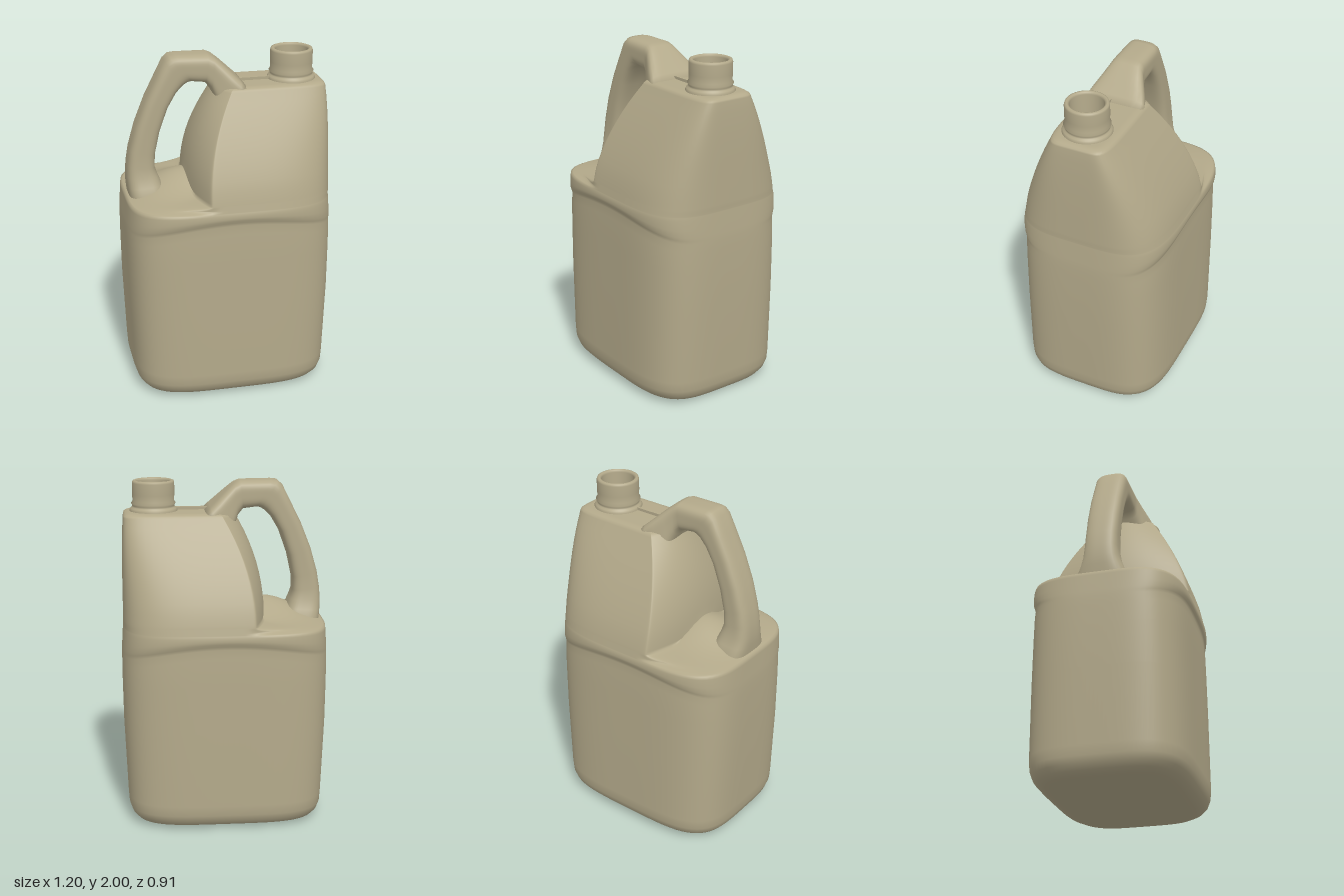
import * as THREE from 'three';

const SEG = 120;

// Skin a stack of closed rings and close both ends with fans
function loft(rings, capDip = 0) {
  const n = rings[0].length, pos = [], idx = [];
  rings.forEach(r => r.forEach(p => pos.push(p.x, p.y, p.z)));
  for (let j = 0; j < rings.length - 1; j++) {
    for (let i = 0; i < n; i++) {
      const a = j * n + i, b = j * n + (i + 1) % n;
      idx.push(a, a + n, b, b, a + n, b + n);
    }
  }
  [0, rings.length - 1].forEach((j, end) => {
    const c = new THREE.Vector3();
    rings[j].forEach(p => c.addScaledVector(p, 1 / n));
    const k = pos.length / 3;
    pos.push(c.x, c.y + (end ? 0 : capDip), c.z);
    for (let i = 0; i < n; i++) {
      const a = j * n + i, b = j * n + (i + 1) % n;
      if (end) idx.push(a, k, b); else idx.push(a, b, k);
    }
  });
  const g = new THREE.BufferGeometry();
  g.setAttribute('position', new THREE.Float32BufferAttribute(pos, 3));
  g.setIndex(idx);
  g.computeVertexNormals();
  return g;
}

// Unit superellipse point at an angle
function superPoint(i, count, n) {
  const a = i / count * Math.PI * 2, c = Math.cos(a), s = Math.sin(a);
  const r = 1 / Math.pow(Math.pow(Math.abs(c), n) + Math.pow(Math.abs(s), n), 1 / n);
  return [c * r, s * r];
}

// Body ring: arch lifts the middle; t slides the left end over the shelf to the cut
function bodyRing({ y, hw, d, n = 4, arch = 0, t = 0, cut = -0.24, cz = 0 }) {
  return Array.from({ length: SEG }, (_, i) => {
    const [u, v] = superPoint(i, SEG, n);
    const x = u * hw, e = cut + 0.08 * v * v;
    const pushed = (x + e + Math.sqrt((x - e) ** 2 + 0.004)) / 2;
    const left = THREE.MathUtils.clamp((e + 0.04 - x) / 0.2, 0, 1);
    const shelf = 1.2 + 0.11 * Math.exp(-((v / 0.45) ** 2));
    const rise = Math.max(0, shelf - y) * left * THREE.MathUtils.smoothstep(t, 0, 1);
    const inset = 1 - 0.1 * left * Math.min(1, t * 5) * (1 - t);
    return new THREE.Vector3(
      x + (pushed - x) * t,
      y + arch * Math.max(0, 1 - (x / 0.58) ** 2) + rise,
      v * d * inset + cz);
  });
}

function bodyRows() {
  // Rounded base and straight sides up to the arched groove
  const rows = [
    [0.005, 0.47, 0.32], [0.012, 0.51, 0.37], [0.03, 0.54, 0.41], [0.06, 0.563, 0.437],
    [0.1, 0.576, 0.451], [0.16, 0.58, 0.455], [0.6, 0.597, 0.45], [0.85, 0.6, 0.446, 0.04],
    [0.97, 0.6, 0.443, 0.08], [1.02, 0.599, 0.438, 0.08], [1.04, 0.598, 0.445, 0.08],
    [1.06, 0.597, 0.452, 0.075], [1.1, 0.594, 0.456, 0.05], [1.16, 0.59, 0.454, 0.01],
  ].map(([y, hw, d, arch = 0]) => ({ y, hw, d, arch }));
  // Shelf below the handle
  for (let i = 0; i <= 9; i++) {
    const s = i / 9;
    rows.push({ y: 1.18 + 0.045 * s, hw: 0.588, d: 0.45 - 0.01 * s, t: s * s * (3 - 2 * s) });
  }
  // Taper to the shoulder
  for (let i = 0; i <= 10; i++) {
    const u = i / 10;
    rows.push({
      y: 1.24 + 0.56 * u, hw: 0.588 - 0.012 * u ** 4, d: 0.437 - 0.253 * u ** 1.28,
      n: 4 + 3 * u * u, t: 1, cut: -0.24 + 0.165 * u * u, cz: 0.01 * u,
    });
  }
  // Rounded top edge
  for (let i = 1; i <= 4; i++) {
    const a = i / 4 * Math.PI / 2, r = 0.05 * (1 - Math.cos(a));
    rows.push({
      y: 1.8 + 0.024 * Math.sin(a), hw: 0.576 - r, d: 0.184 - r,
      n: 7, t: 1, cut: -0.075 + r, cz: 0.01,
    });
  }
  return rows;
}

export function createModel() {
  const group = new THREE.Group();
  const plastic = new THREE.MeshStandardMaterial({ color: 0xb3a98a });
  plastic.name = 'beige plastic';
  const add = (name, geo) => {
    const m = new THREE.Mesh(geo, plastic);
    m.name = name;
    group.add(m);
    return m;
  };

  add('body', loft(bodyRows().map(bodyRing), 0.015));

  // Handle: outer x,y, inner x,y, half width
  const grip = [
    [-0.56, 1.1, -0.36, 1.1, 0.16], [-0.568, 1.19, -0.36, 1.2, 0.15],
    [-0.574, 1.24, -0.375, 1.25, 0.125], [-0.576, 1.3, -0.395, 1.3, 0.106],
    [-0.57, 1.37, -0.412, 1.35, 0.098], [-0.555, 1.46, -0.408, 1.43, 0.095],
    [-0.515, 1.6, -0.38, 1.56, 0.095], [-0.455, 1.75, -0.33, 1.7, 0.095],
    [-0.39, 1.88, -0.28, 1.785, 0.095], [-0.345, 1.97, -0.24, 1.825, 0.095],
    [-0.315, 1.996, -0.215, 1.84, 0.095], [-0.28, 2.0, -0.195, 1.845, 0.095],
    [-0.1, 1.998, -0.115, 1.835, 0.097],
  ];
  // Ramp from the handle down to the shoulder, growing wider and squarer
  const ramp = [
    [-0.065, 1.983, -0.085, 1.8, 0.104, 4], [-0.02, 1.945, -0.065, 1.74, 0.126, 4.5],
    [0.03, 1.897, -0.03, 1.68, 0.153, 5.5], [0.075, 1.853, 0.02, 1.64, 0.174, 7],
    [0.115, 1.815, 0.07, 1.62, 0.18, 8],
  ];
  const HS = 48;
  add('handle', loft([...grip, ...ramp].map(([ox, oy, ix, iy, w, n = 3.6]) =>
    Array.from({ length: HS }, (_, i) => {
      const [u, v] = superPoint(i, HS, n);
      return new THREE.Vector3(
        (ox + ix) / 2 + u * (ox - ix) / 2,
        (oy + iy) / 2 + u * (oy - iy) / 2,
        0.01 - v * w);
    }))));

  // Hollow neck with base collar and bead
  const neck = add('neck', new THREE.LatheGeometry([
    [0.14, 1.8], [0.139, 1.828], [0.133, 1.84], [0.124, 1.846], [0.122, 1.855],
    [0.129, 1.868], [0.12, 1.882], [0.122, 1.92], [0.122, 1.985], [0.118, 1.996],
    [0.108, 2.0], [0.099, 1.996], [0.094, 1.985], [0.092, 1.86], [0.088, 1.84], [0, 1.838],
  ].map(([r, y]) => new THREE.Vector2(r, y)), 64));
  neck.position.set(0.4, 0, 0.018);

  // Thin moulding seam from the ramp to the neck
  const seam = add('topSeam', new THREE.BoxGeometry(0.2, 0.03, 0.012));
  seam.position.set(0.18, 1.825, 0.03);

  return group;
}
